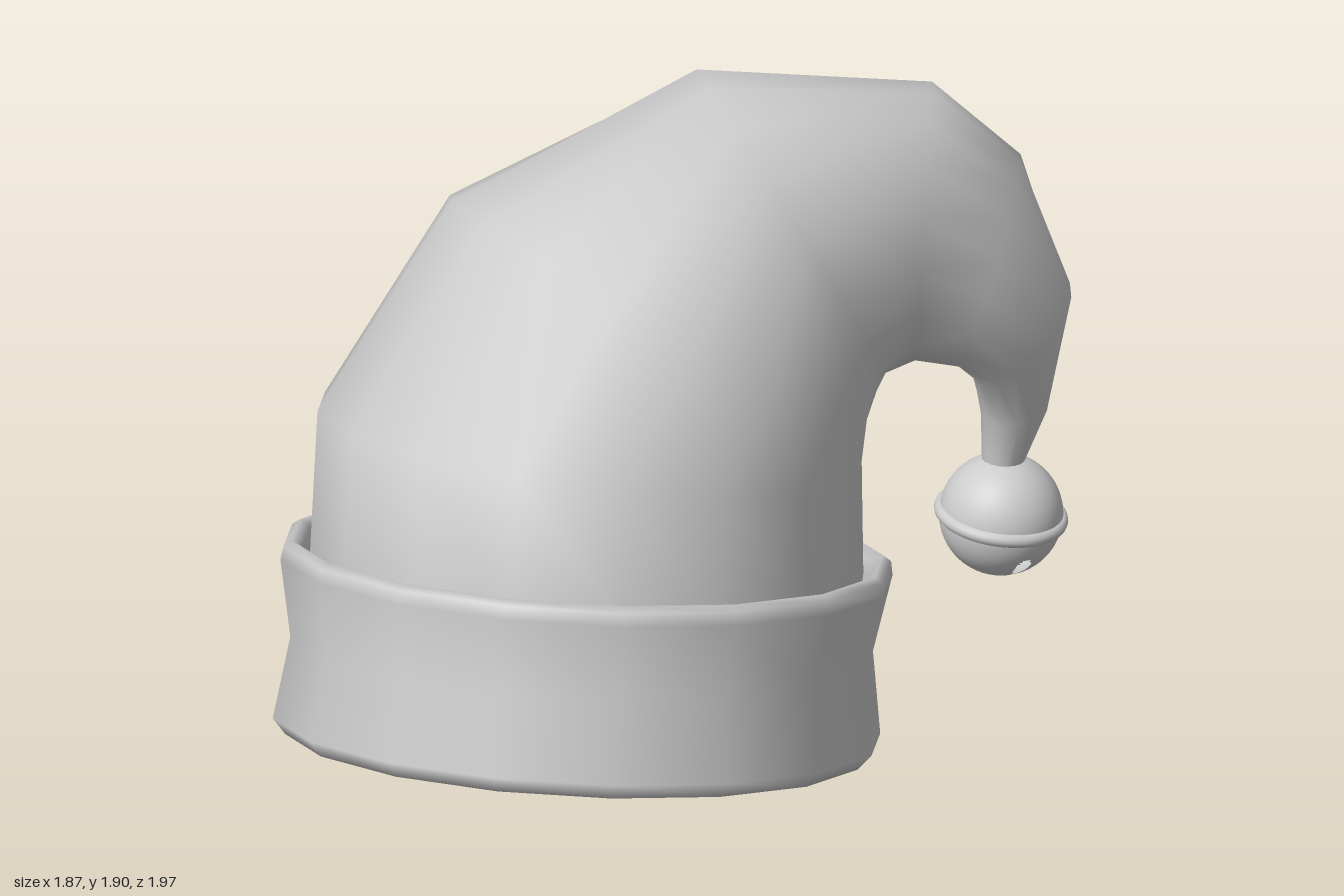
import * as THREE from 'three';

const SIDES = 16;
const TILT = THREE.MathUtils.degToRad(15);
const BASE = new THREE.Vector3(-0.155, 0.23, 0.13); // centre of the opening
const NARROW = 0.863;                               // band width / depth
const D = Math.SQRT1_2;

const material = (side = THREE.FrontSide) => new THREE.MeshStandardMaterial({ color: 0xcccccc, side });

function named(geometry, name, mat = material()) {
  const mesh = new THREE.Mesh(geometry, mat);
  mesh.name = name;
  return mesh;
}

// Skin a list of rings (each SIDES points) into a smooth surface
function loft(rings) {
  const index = [];
  for (let i = 0; i < rings.length - 1; i++) {
    for (let j = 0; j < SIDES; j++) {
      const a = i * SIDES + j, b = i * SIDES + (j + 1) % SIDES;
      index.push(a, b, a + SIDES, b, b + SIDES, a + SIDES);
    }
  }
  const geometry = new THREE.BufferGeometry().setFromPoints(rings.flat());
  geometry.setIndex(index);
  geometry.computeVertexNormals();
  return geometry;
}

const ring = (pointAt) => Array.from({ length: SIDES }, (_, j) => {
  const t = (j / SIDES) * Math.PI * 2;
  return pointAt(Math.sin(t), Math.cos(t));
});

// Oval ring in the tilted frame of the band
const baseRing = (height, r) => ring((s, c) =>
  new THREE.Vector3(r * NARROW * s, height, r * c)
    .applyAxisAngle(new THREE.Vector3(1, 0, 0), -TILT).add(BASE));

// Ring of the drooping part, which bends diagonally towards +x, -z:
// outer and inner edge (distance along the bend, y), sideways centre and radius,
// skew that swings the back side further along the bend, roll that lifts the front side
const bendRing = ([ho, yo, hi, yi, g, b, skew, roll]) => ring((s, c) => {
  const along = D * (s - c), across = D * (s + c);
  const h = (ho + hi) / 2 + (hi - ho) / 2 * along - skew * across;
  const y = (yo + yi) / 2 + (yi - yo) / 2 * along + roll * across;
  const k = g + b * across;
  return new THREE.Vector3(D * (h + k), y, D * (k - h));
});

function createBand() {
  // Rolled cloth profile: inside wall, bottom hem, outside wall, top lip
  const profile = [
    [0.845, 0.44], [0.815, 0.12], [0.765, 0.05], [0.79, 0.005], [0.865, -0.005], [0.905, 0.035],
    [0.868, 0.25], [0.912, 0.45], [0.905, 0.485], [0.88, 0.5], [0.85, 0.485], [0.845, 0.44],
  ].map(([r, y]) => new THREE.Vector2(r, y));
  const band = named(new THREE.LatheGeometry(profile, SIDES), 'band');
  band.scale.x = NARROW;
  band.rotation.x = -TILT;
  band.position.copy(BASE);
  return band;
}

function createCap() {
  // Widest part, just above the band
  const crown = ring((s, c) => new THREE.Vector3(
    -0.165 + 0.70 * s, 1.0 - 0.05 * s + 0.22 * c, -0.06 + 0.78 * c));
  const bends = [
    [-0.38, 1.66, 0.67, 0.95, -0.18, 0.68, 0.05, 0.06],
    [0.28, 1.9, 0.77, 1.04, -0.15, 0.48, 0.14, 0],
    [0.90, 1.78, 0.85, 1.06, -0.07, 0.27, 0.17, 0],
    [1.12, 1.56, 0.93, 1.05, 0.01, 0.21, 0.14, 0],
    [1.26, 1.19, 0.97, 0.99, 0.02, 0.165, 0.06, 0],
    [1.19, 0.88, 1.01, 0.86, 0.01, 0.095, 0.01, 0],
    [1.11, 0.71, 1.01, 0.71, 0.01, 0.05, 0, 0],
  ];
  const rings = [baseRing(0.07, 0.785), baseRing(0.45, 0.825), crown, ...bends.map(bendRing)];
  return named(loft(rings), 'cap', material(THREE.DoubleSide));
}

function createBell() {
  const bell = new THREE.Group();
  bell.name = 'bell';

  // Hollow ball with a slot ending in two round holes underneath
  const ball = new THREE.SphereGeometry(0.16, 80, 60);
  const p = ball.attributes.position, src = ball.index.array, kept = [];
  for (let i = 0; i < src.length; i += 3) {
    const tri = [src[i], src[i + 1], src[i + 2]];
    const mean = (get) => tri.reduce((sum, v) => sum + get(v), 0) / 3;
    const x = mean((v) => p.getX(v)), y = mean((v) => p.getY(v)), z = mean((v) => p.getZ(v));
    const along = Math.abs(D * (x + z)), across = D * (x - z);
    const inSlot = along < 0.125 && Math.abs(across) < 0.008;
    const inHole = Math.hypot(along - 0.126, across) < 0.021;
    if (!(y < -0.04 && (inSlot || inHole))) kept.push(...tri);
  }
  ball.setIndex(kept);
  bell.add(named(ball, 'bellBall', material(THREE.DoubleSide)));

  // Raised seam around the middle
  const seam = named(new THREE.TorusGeometry(0.155, 0.019, 12, 48), 'bellSeam');
  seam.rotation.x = Math.PI / 2;
  bell.add(seam);

  bell.position.set(0.758, 0.587, -0.735);
  bell.rotation.z = -0.13;
  return bell;
}

export function createModel() {
  const hat = new THREE.Group();
  hat.name = 'hat';
  hat.add(createBand(), createCap(), createBell());
  return hat;
}
